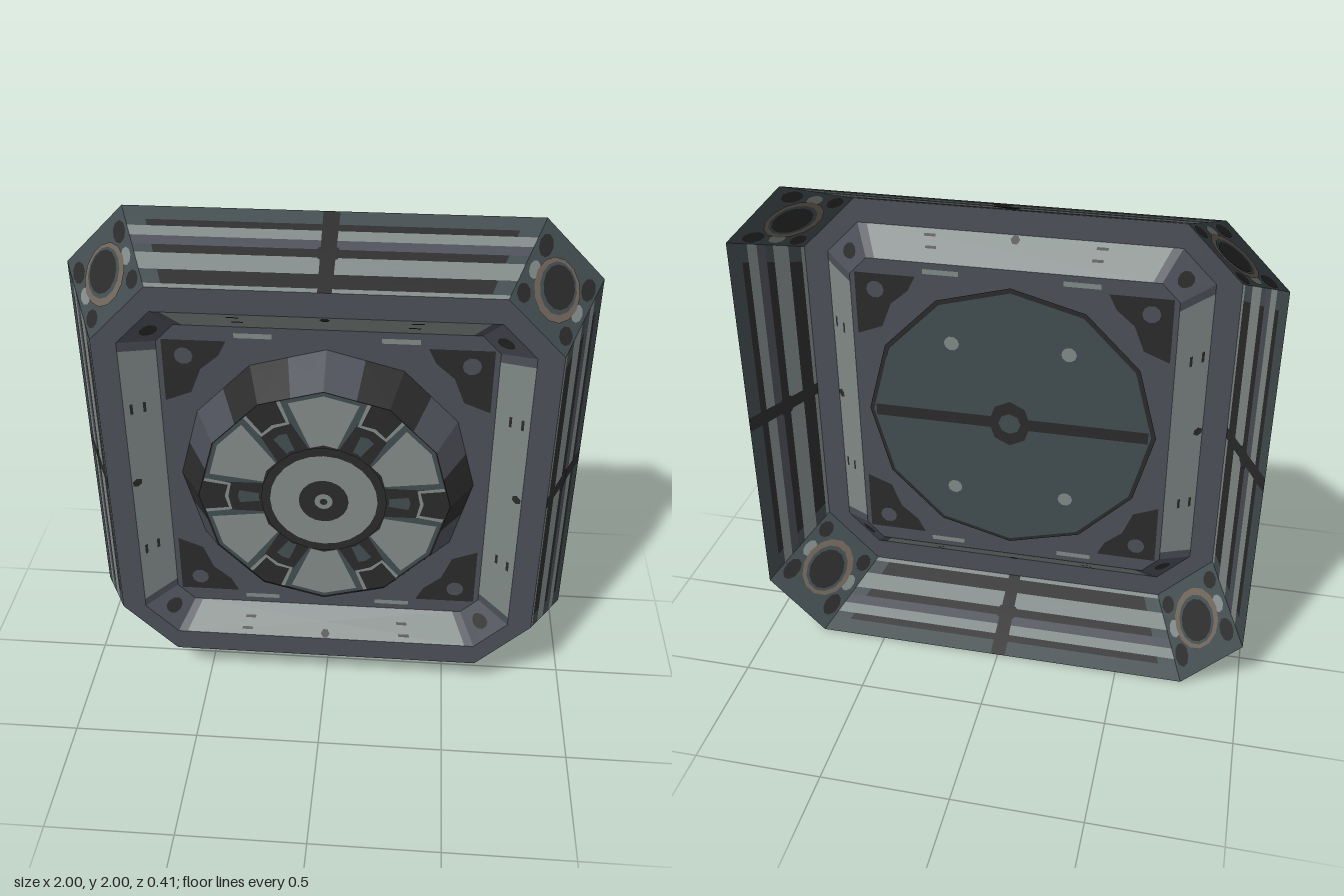
import * as THREE from 'three';

const paint = (name, hex) => {
  const m = new THREE.MeshStandardMaterial({ color: hex, side: THREE.DoubleSide });
  m.name = name;
  return m;
};

export function createModel() {
  const LIGHT = paint('pale steel', 0x7f8886);
  const MID = paint('blue grey', 0x4b4e57);
  const SLATE = paint('slate', 0x414b4e);
  const DARK = paint('charcoal', 0x2a2a2a);
  const BROWN = paint('rust brown', 0x6e6258);

  const root = new THREE.Group();
  root.name = 'hatchWithRotor';
  const body = new THREE.Group();
  body.name = 'body';
  body.position.y = 1;
  root.add(body);

  const V = (x, y, z) => new THREE.Vector3(x, y, z);

  // Triangles are gathered per part and per colour, then turned into flat-shaded meshes
  function part(name, fill) {
    const bins = new Map();
    fill((mat, ...pts) => {
      if (!bins.has(mat)) bins.set(mat, []);
      const c = V(0, 0, 0);
      pts.forEach(p => c.addScaledVector(p, 1 / pts.length));
      pts.forEach((p, i) => {
        for (const q of [c, p, pts[(i + 1) % pts.length]]) bins.get(mat).push(q.x, q.y, q.z);
      });
    });
    const group = new THREE.Group();
    group.name = name;
    for (const [mat, pos] of bins) {
      const g = new THREE.BufferGeometry();
      g.setAttribute('position', new THREE.Float32BufferAttribute(pos, 3));
      g.computeVertexNormals();
      const mesh = new THREE.Mesh(g, mat);
      mesh.name = `${name} ${mat.name}`;
      group.add(mesh);
    }
    body.add(group);
  }

  // Point at (u, v) on a four-cornered face
  const at = ([a, b, c, d], u, v) =>
    a.clone().lerp(b, u).lerp(d.clone().lerp(c, u), v);
  const patch = (add, mat, q, u0, u1, v0, v1) =>
    add(mat, at(q, u0, v0), at(q, u1, v0), at(q, u1, v1), at(q, u0, v1));

  // Painted mark, laid just above both sides of a face
  function mark(add, mat, q, uv, layer = 1) {
    const n = q[1].clone().sub(q[0]).cross(q[3].clone().sub(q[0])).normalize();
    for (const s of [-1, 1])
      add(mat, ...uv.map(([u, v]) => at(q, u, v).addScaledVector(n, s * 0.002 * layer)));
  }
  const oval = (u, v, ru, rv, n = 14) => Array.from({ length: n }, (_, i) => {
    const a = i / n * Math.PI * 2;
    return [u + ru * Math.cos(a), v + rv * Math.sin(a)];
  });
  const rect = (u, v, w, h) =>
    [[u - w, v - h], [u + w, v - h], [u + w, v + h], [u - w, v + h]];
  const plane = z => [V(0, 0, z), V(1, 0, z), V(1, 1, z), V(0, 1, z)];

  // Eight-sided ring: half width, half height, chamfer, depth
  const octagon = (w, h, c, z) => [
    [w, -h + c], [w, h - c], [w - c, h], [-w + c, h],
    [-w, h - c], [-w, -h + c], [-w + c, -h], [w - c, -h],
  ].map(([x, y]) => V(x, y, z));
  const faces = (a, b) => a.map((p, i) => {
    const j = (i + 1) % 8;
    return [p, a[j], b[j], b[i]];
  });

  const backRim = octagon(1, 1, 0.23, -0.2);
  const frontRim = octagon(0.845, 0.845, 0.215, 0.15);
  const opening = octagon(0.75, 0.75, 0.13, 0.15);
  const floorRim = octagon(0.63, 0.65, 0.07, 0.05);

  // Sloping outer shell with stripes and worn corners
  const bands = [
    [0, 0.17, SLATE], [0.17, 0.25, DARK], [0.25, 0.37, LIGHT], [0.37, 0.48, MID],
    [0.48, 0.58, DARK], [0.58, 0.78, LIGHT], [0.78, 0.95, DARK], [0.95, 1, LIGHT],
  ];
  part('outerShell', add => faces(backRim, frontRim).forEach((q, i) => {
    if (i % 2 === 0) {
      for (const [v0, v1, mat] of bands) {
        patch(add, mat === DARK ? SLATE : mat, q, 0, 0.05, v0, v1);
        patch(add, mat, q, 0.05, 0.48, v0, v1);
        patch(add, DARK, q, 0.48, 0.52, v0, v1);
        patch(add, mat, q, 0.52, 0.95, v0, v1);
        patch(add, mat === DARK ? SLATE : mat, q, 0.95, 1, v0, v1);
      }
      mark(add, DARK, q, oval(0.5, 0.53, 0.035, 0.1, 8));
    } else {
      patch(add, SLATE, q, 0, 1, 0, 1);
      for (const u of [0.13, 0.87]) {
        mark(add, DARK, q, oval(u, 0.25, 0.1, 0.13, 9));
        mark(add, LIGHT, q, oval(u, 0.55, 0.08, 0.1, 9));
        mark(add, DARK, q, oval(u, 0.83, 0.1, 0.1, 9));
      }
      mark(add, BROWN, q, oval(0.5, 0.53, 0.34, 0.33), 2);
      mark(add, SLATE, q, oval(0.5, 0.51, 0.27, 0.27), 3);
      mark(add, DARK, q, oval(0.5, 0.5, 0.23, 0.23), 4);
    }
  }));

  // Flat front rim
  part('frontRim', add => faces(frontRim, opening).forEach(q => patch(add, MID, q, 0, 1, 0, 1)));

  // Sloping walls of the recess, with bolts in the corners
  part('recessWall', add => faces(opening, floorRim).forEach((q, i) => {
    if (i % 2 === 0) {
      patch(add, MID, q, 0, 0.03, 0, 1);
      patch(add, LIGHT, q, 0.03, 0.97, 0, 1);
      patch(add, MID, q, 0.97, 1, 0, 1);
      mark(add, DARK, q, oval(0.5, 0.15, 0.015, 0.14, 6));
      for (const u of [0.23, 0.77]) {
        mark(add, DARK, q, rect(u, 0.2, 0.018, 0.04));
        mark(add, DARK, q, rect(u, 0.55, 0.018, 0.04));
      }
    } else {
      patch(add, MID, q, 0, 1, 0, 1);
      mark(add, DARK, q, oval(0.5, 0.5, 0.22, 0.24, 10));
    }
  }));

  // Recess floor with dark corner brackets
  part('recessFloor', add => {
    add(MID, ...floorRim);
    const q = plane(0.05);
    for (const sx of [-1, 1]) for (const sy of [-1, 1]) {
      const flip = pts => pts.map(([x, y]) => [x * sx, y * sy]);
      mark(add, DARK, q, flip([[0.61, 0.59], [0.37, 0.59], [0.4, 0.53], [0.47, 0.47], [0.61, 0.47]]));
      mark(add, DARK, q, flip([[0.61, 0.47], [0.47, 0.47], [0.51, 0.37], [0.61, 0.33]]));
      mark(add, MID, q, flip(oval(0.53, 0.525, 0.035, 0.035, 10)), 2);
      mark(add, LIGHT, q, flip(rect(0.27, 0.615, 0.07, 0.01)));
    }
  });

  // Twelve-sided rotor; polar point on its outline
  const DEG = Math.PI / 180;
  const rim = (deg, r) => {
    const off = ((deg % 30) + 30) % 30 - 15;
    const k = r * Math.cos(15 * DEG) / Math.cos(off * DEG);
    return [k * Math.cos(deg * DEG), k * Math.sin(deg * DEG)];
  };
  const dodecagon = r => Array.from({ length: 12 }, (_, i) => rim(i * 30, r));
  const sector = (mid, r0, r1, half0, half1) => {
    const pts = [];
    for (let i = 0; i <= 4; i++) pts.push(rim(mid - half1 + half1 * i / 2, r1));
    for (let i = 0; i <= 4; i++) pts.push(rim(mid + half0 - half0 * i / 2, r0));
    return pts;
  };

  part('rotorSide', add => {
    for (let a = 0; a < 360; a += 15) {
      const mat = a % 60 === 0 || a % 60 === 45 ? DARK : MID;
      const [p, q, r, s] = [rim(a, 0.57), rim(a + 15, 0.57), rim(a + 15, 0.48), rim(a, 0.48)];
      add(mat, V(...p, 0.05), V(...q, 0.05), V(...r, 0.2), V(...s, 0.2));
    }
  });

  // Rotor face: six pale windows, dark spokes and a round hub
  part('rotorFace', add => {
    const z = 0.192, q = plane(z);
    add(DARK, ...dodecagon(0.482).map(([x, y]) => V(x, y, z)));
    for (let k = 0; k < 6; k++) {
      const a = 30 + k * 60, s = k * 60;
      mark(add, SLATE, q, sector(a, 0.25, 0.475, 14, 22));
      mark(add, LIGHT, q, sector(a, 0.25, 0.46, 12, 17), 2);
      mark(add, SLATE, q, sector(s, 0.25, 0.33, 4, 5));
      for (const d of [-9, 9]) mark(add, LIGHT, q, sector(s + d, 0.37, 0.475, 0.9, 0.9), 2);
      mark(add, LIGHT, q, sector(s, 0.37, 0.38, 9, 9), 2);
    }
    mark(add, DARK, q, oval(0, 0, 0.24, 0.24, 24), 3);
    mark(add, LIGHT, q, oval(0, 0, 0.205, 0.205, 24), 4);
  });
  part('rotorHub', add => {
    const q = plane(0.2);
    mark(add, DARK, q, oval(0, 0, 0.095, 0.095, 20), 1);
    mark(add, LIGHT, q, oval(0, 0, 0.035, 0.035, 12), 2);
    mark(add, DARK, q, oval(0, 0, 0.015, 0.015, 8), 3);
  });

  // Rear cover of the rotor with a cross bar and four rivets
  part('rotorBack', add => {
    const flat = (mat, r, z) => add(mat, ...dodecagon(r).map(([x, y]) => V(x, y, z)));
    flat(DARK, 0.58, 0.043);
    flat(SLATE, 0.562, 0.038);
    const q = plane(0.038);
    mark(add, DARK, q, rect(0, 0, 0.55, 0.025));
    mark(add, DARK, q, oval(0, 0, 0.085, 0.1, 8), 2);
    mark(add, SLATE, q, oval(0, 0, 0.045, 0.045, 8), 3);
    for (const x of [-0.23, 0.23]) for (const y of [-0.33, 0.33])
      mark(add, LIGHT, q, oval(x, y, 0.03, 0.03, 10));
  });

  return root;
}
